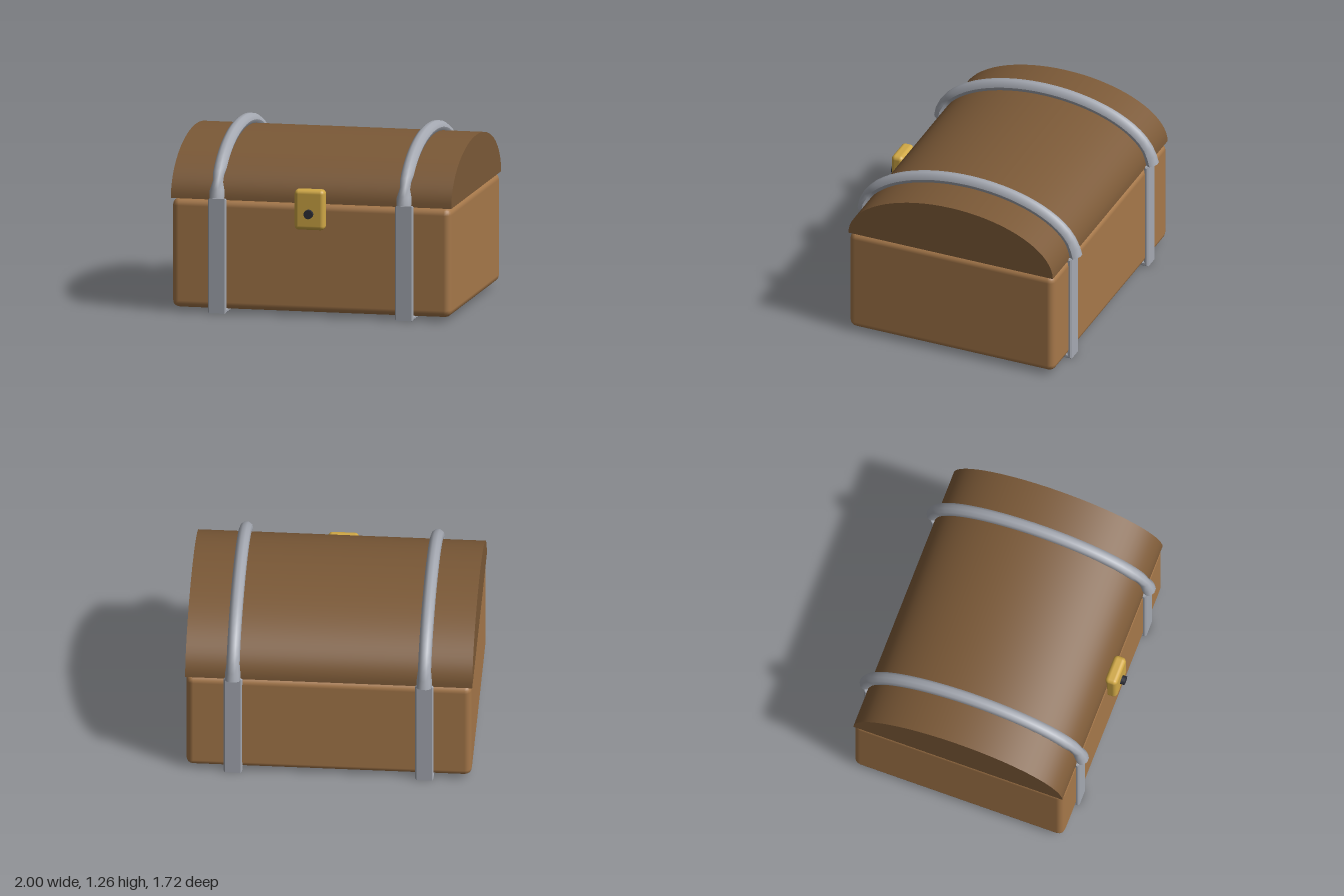
import * as THREE from 'three';
import { RoundedBoxGeometry } from 'three/addons/geometries/RoundedBoxGeometry.js';
import { toCreasedNormals } from 'three/addons/utils/BufferGeometryUtils.js';

const MID_Z = -0.013; // chest centre in depth

const paint = (color) => new THREE.MeshStandardMaterial({ color });
const WOOD = paint(0xa6784a), LID = paint(0x7b5937), METAL = paint(0xa5a9b2);
const GOLD = paint(0xd0a845), DARK = paint(0x2d2f38);
METAL.side = THREE.DoubleSide;

function add(parent, name, geometry, material, x = 0, y = 0, z = 0) {
  const mesh = new THREE.Mesh(geometry, material);
  mesh.name = name;
  mesh.position.set(x, y, z);
  parent.add(mesh);
  return mesh;
}

// Extrudes a side profile (drawn in depth and height) along x, centred
function sideExtrude(shape, width, options) {
  const bevel = options.bevelEnabled ? options.bevelThickness : 0;
  const depth = width - 2 * bevel;
  const geometry = new THREE.ExtrudeGeometry(shape, { depth, ...options });
  geometry.translate(0, 0, -depth / 2);
  geometry.rotateY(Math.PI / 2);
  return geometry;
}

// Half-ellipse lid
function lidGeometry() {
  const shape = new THREE.Shape();
  shape.absellipse(0, 0, 0.775, 0.39, 0, Math.PI, false, 0);
  shape.closePath();
  const geometry = sideExtrude(shape, 2, { bevelEnabled: false, curveSegments: 18 });
  return toCreasedNormals(geometry, 0.7);
}

// U-shaped flat strap running down the front, under and up the back
function strapGeometry() {
  const o = 0.798, i = 0.765, top = 0.81;
  const shape = new THREE.Shape([
    [-o, 0], [o, 0], [o, top], [i, top], [i, 0.035], [-i, 0.035], [-i, top], [-o, top],
  ].map(([z, y]) => new THREE.Vector2(z, y)));
  return sideExtrude(shape, 0.13, {
    bevelEnabled: true, bevelSize: 0.01, bevelThickness: 0.01, bevelOffset: -0.01, bevelSegments: 1,
  });
}

// Round hoop over the lid, pinched just above its front foot
function hoopGeometry() {
  const points = [new THREE.Vector3(0, 0.81, 0.8)];
  for (let k = 1; k < 16; k++) {
    const a = (k / 16) * Math.PI;
    points.push(new THREE.Vector3(0, 0.8 + 0.415 * Math.sin(a), 0.8 * Math.cos(a)));
  }
  points.push(new THREE.Vector3(0, 0.81, -0.805));
  const geometry = new THREE.TubeGeometry(new THREE.CatmullRomCurve3(points), 32, 0.046, 10);
  const p = geometry.attributes.position;
  for (let k = 0; k < p.count; k++) {
    const y = p.getY(k), z = p.getZ(k);
    if (z > 0.6 && y > 0.89 && y < 0.98) p.setX(k, p.getX(k) * 0.8);
    // Feet widen slightly where they meet the straps
    if (y < 0.87) p.setX(k, p.getX(k) * 1.15);
  }
  geometry.computeVertexNormals();
  return geometry;
}

export function createModel() {
  const chest = new THREE.Group();
  chest.name = 'chest';

  add(chest, 'body', new RoundedBoxGeometry(1.99, 0.77, 1.555, 2, 0.05), WOOD, 0, 0.413, MID_Z);
  add(chest, 'lid', lidGeometry(), LID, 0, 0.8, MID_Z);

  const strap = strapGeometry(), hoop = hoopGeometry();
  for (const [side, x] of [['left', 0.667], ['right', -0.667]]) {
    const band = new THREE.Group();
    band.name = side + 'Band';
    band.position.set(x, 0, MID_Z);
    add(band, side + 'Strap', strap, METAL);
    add(band, side + 'Hoop', hoop, METAL);
    chest.add(band);
  }

  // Lock plate and its round keyhole stud
  add(chest, 'lockPlate', new RoundedBoxGeometry(0.215, 0.285, 0.09, 3, 0.03), GOLD, 0, 0.763, 0.785);
  const stud = new THREE.CylinderGeometry(0.032, 0.032, 0.06, 16).rotateX(Math.PI / 2);
  add(chest, 'keyhole', stud, DARK, 0, 0.737, 0.83);

  return chest;
}
